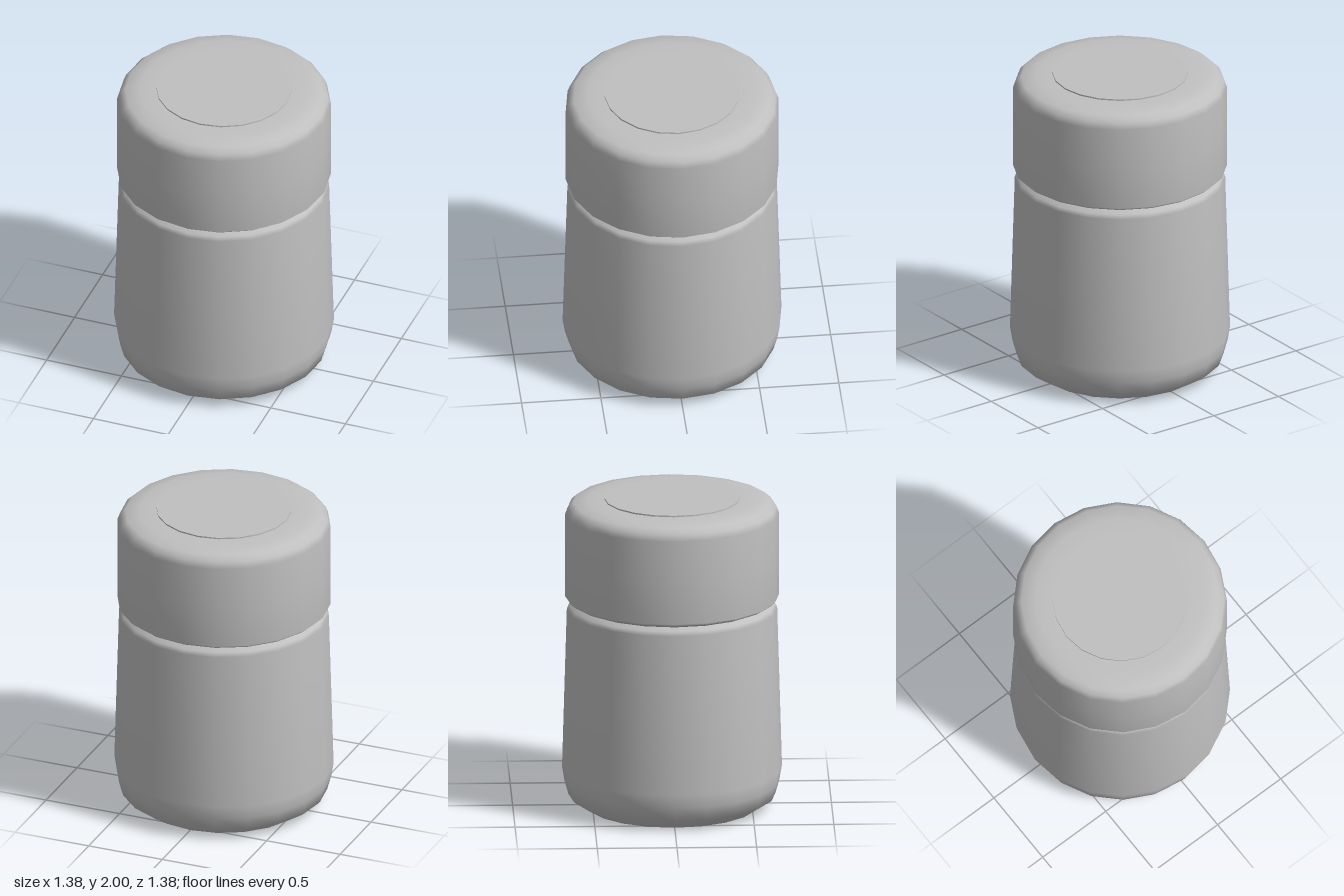
import * as THREE from 'three';

const SIDES = 20;

export function createModel() {
  const group = new THREE.Group();
  group.name = 'jar';
  const grey = new THREE.MeshStandardMaterial({ color: 0xc0c0c0 });
  grey.name = 'grey';

  const add = (name, geometry) => {
    const mesh = new THREE.Mesh(geometry, grey);
    mesh.name = name;
    group.add(mesh);
    return mesh;
  };
  // Profiles run from bottom to top as [radius, height]
  const turned = (name, points) =>
    add(name, new THREE.LatheGeometry(points.map(([r, y]) => new THREE.Vector2(r, y)), SIDES));

  // Slightly tapered body with a rounded foot and shoulder
  turned('body', [
    [0.545, 0], [0.65, 0.07], [0.675, 0.16], [0.69, 0.25],
    [0.675, 0.77], [0.66, 1.28], [0.645, 1.305], [0.61, 1.33],
  ]);

  // Flat underside
  const base = add('base', new THREE.CircleGeometry(0.545, SIDES));
  base.rotation.x = Math.PI / 2;

  // Straight lid with bevelled rims
  turned('lid', [
    [0.61, 1.325], [0.645, 1.34], [0.67, 1.36], [0.67, 1.63], [0.67, 1.9],
    [0.655, 1.94], [0.62, 1.972], [0.53, 1.99], [0.42, 1.991],
  ]);

  // Thin raised disc in the top of the lid
  const disc = add('lidDisc', new THREE.CylinderGeometry(0.425, 0.425, 0.01, SIDES));
  disc.position.y = 1.995;

  return group;
}
